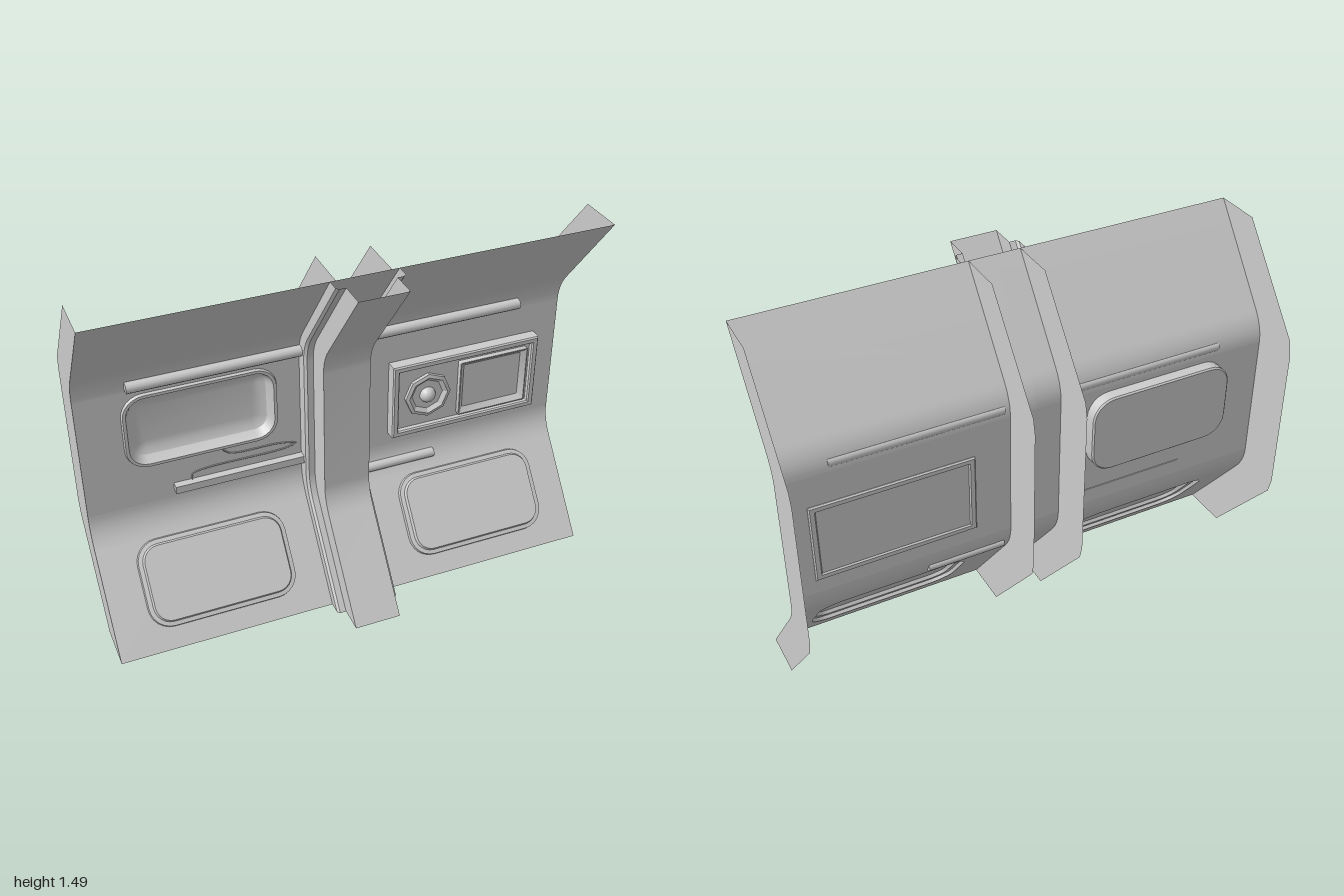
import * as THREE from 'three';
import { toCreasedNormals } from 'three/addons/utils/BufferGeometryUtils.js';

const material = new THREE.MeshStandardMaterial({ color: 0xcccccc, side: THREE.DoubleSide });
const H = 1.485, Z_MID = -0.15, Z_END = 0.175, SLOPE = Math.atan(0.783);
const BEND = 0.355, FLAT = 0.48;   // heights where the lower bend starts and ends

function add(parent, name, geometry, x = 0, y = 0, z = 0) {
  const mesh = new THREE.Mesh(geometry, material);
  mesh.name = name;
  mesh.position.set(x, y, z);
  parent.add(mesh);
  return mesh;
}

// Grid of quads from rows of points; closed wraps each row and caps the last one
function loft(rows, closed) {
  const n = rows[0].length, index = [];
  for (let i = 0; i < rows.length - 1; i++)
    for (let j = 0; j < (closed ? n : n - 1); j++) {
      const k = (j + 1) % n, a = i * n + j, b = i * n + k, c = a + n, d = b + n;
      index.push(a, b, d, a, d, c);
    }
  if (closed) {
    const s = (rows.length - 1) * n;
    for (let j = 1; j < n - 1; j++) index.push(s, s + j, s + j + 1);
  }
  const g = new THREE.BufferGeometry();
  g.setAttribute('position', new THREE.Float32BufferAttribute(rows.flat(2), 3));
  g.setIndex(index);
  return toCreasedNormals(g, 0.5);
}

// Section of [x, forward offset] carried along a path of (z, y)
const sweep = (section, path) =>
  loft(path.map(p => section.map(([x, dz]) => [x, p.y, p.x + dz])), false);

function rounded(w, h, r, n = 6) {
  const pts = [];
  [[1, 1], [-1, 1], [-1, -1], [1, -1]].forEach(([sx, sy], q) => {
    for (let i = 0; i <= n; i++) {
      const a = (q + i / n) * Math.PI / 2;
      pts.push(new THREE.Vector2(sx * (w / 2 - r) + r * Math.cos(a), sy * (h / 2 - r) + r * Math.sin(a)));
    }
  });
  return pts;
}

// Pressed pan: rounded rectangles stepping through [inset, height] levels
const pan = (w, h, r, levels) => loft(levels.map(([inset, z]) =>
  rounded(w - 2 * inset, h - 2 * inset, Math.max(r - inset, 0.004)).map(p => [p.x, p.y, z])), true);

// Flat sheet with rounded holes [cx, cy, w, h, r]
function sheet(x0, x1, y0, y1, holes) {
  const s = new THREE.Shape([[x0, y0], [x1, y0], [x1, y1], [x0, y1]].map(p => new THREE.Vector2(...p)));
  for (const [cx, cy, w, h, r] of holes)
    s.holes.push(new THREE.Path(rounded(w, h, r).map(p => p.add(new THREE.Vector2(cx, cy)))));
  return new THREE.ShapeGeometry(s);
}

export function createModel() {
  const model = new THREE.Group();

  // Side profile as (z, y): sloped foot, bend, upright, bend, sloped head
  const zBend = Z_END - BEND * Math.tan(SLOPE);
  const bend = new THREE.QuadraticBezierCurve(new THREE.Vector2(zBend, BEND),
    new THREE.Vector2(Z_MID, 0.415), new THREE.Vector2(Z_MID, FLAT)).getPoints(8);
  const flip = pts => pts.map(p => new THREE.Vector2(p.x, H - p.y)).reverse();
  const lowerHalf = [new THREE.Vector2(Z_END, 0), ...bend];
  const profile = [...lowerHalf, ...flip(lowerHalf)];

  // Backward-reaching flange outline
  const backHalf = [[-0.015, 0], [-0.326, 0.38], [-0.34, 0.44]].map(p => new THREE.Vector2(...p));
  const flange = new THREE.ShapeGeometry(new THREE.Shape(
    [...profile, ...[...backHalf, ...flip(backHalf)].reverse()])).rotateY(-Math.PI / 2);

  const slopeLength = BEND / Math.cos(SLOPE);
  const upper = [-0.525, 0.82, 0.61, 0.33, 0.09];

  for (const side of [-1, 1]) {
    const group = new THREE.Group();
    group.name = side > 0 ? 'leftWall' : 'rightWall';
    model.add(group);
    const [x0, x1] = side > 0 ? [0, 1] : [-1, 0];
    const strip = [[x0, 0], [x1, 0]];

    // Wall skin, meeting its twin behind the pillar
    add(group, 'lowerBend', sweep(strip, bend));
    add(group, 'upperWall', sweep(strip, flip(lowerHalf)));
    add(group, 'middleWall', sheet(x0, x1, FLAT, H - FLAT, side < 0 ? [upper] : []), 0, 0, Z_MID);
    for (const x of [0.105, 1]) add(group, 'flange', flange, side * x);

    // Sloped foot with its raised hatch
    const foot = new THREE.Group();
    foot.name = 'lowerSlope';
    foot.position.z = Z_END;
    foot.rotation.x = -SLOPE;
    group.add(foot);
    const hatch = [side > 0 ? 0.566 : -0.55, 0.261, 0.61, 0.35, 0.09];
    const [cx, cy, w, h, r] = hatch;
    add(foot, 'lowerWall', sheet(x0, x1, 0, slopeLength, [hatch]));
    add(foot, 'lowerHatch', pan(w, h, r, [[0, 0], [0.003, 0.014], [0.02, 0.016], [0.026, 0.03]]), cx, cy, 0);

    // Round handrail, half sunk in the wall
    const rail = new THREE.CylinderGeometry(0.022, 0.022, 0.68, 12).rotateZ(Math.PI / 2);
    add(group, 'handrail', rail, side * 0.465, 1.035, -0.131);
  }

  // Upper window: lipped recess in front, shallow tray behind
  const [ux, uy, uw, uh, ur] = upper;
  add(model, 'windowRecess', pan(uw, uh, ur, [[0, 0], [0.004, 0.012], [0.016, 0.012], [0.024, -0.005],
    [0.036, -0.025], [0.06, -0.038], [0.09, -0.042]]), ux, uy, Z_MID);
  add(model, 'windowBack', pan(uw, uh, ur, [[0, 0], [0, -0.044], [0.006, -0.05]]), ux, uy, Z_MID);

  // Shelf rail, short rail and loose cable
  add(model, 'shelfRail', new THREE.BoxGeometry(0.53, 0.032, 0.036), -0.39, 0.53, -0.136);
  add(model, 'shortRail', new THREE.CylinderGeometry(0.02, 0.02, 0.32, 12).rotateZ(Math.PI / 2), 0.29, 0.403, -0.126);
  const cable = new THREE.CatmullRomCurve3([[-0.45, 0.65], [-0.42, 0.627], [-0.22, 0.618], [-0.15, 0.602],
    [-0.2, 0.588], [-0.53, 0.583], [-0.58, 0.57], [-0.58, 0.54]].map(([x, y]) => new THREE.Vector3(x, y, -0.1465)));
  add(model, 'cable', new THREE.TubeGeometry(cable, 50, 0.003, 6));

  // Control panel: frame, back plate, screen and octagonal dial
  const panel = new THREE.Group();
  panel.name = 'controlPanel';
  panel.position.set(0.574, 0.708, -0.152);
  model.add(panel);
  const rect = (w, h) => [[-w, -h], [w, -h], [w, h], [-w, h]].map(([x, y]) => new THREE.Vector2(x / 2, y / 2));
  const frame = new THREE.Shape(rect(0.636, 0.326));
  frame.holes.push(new THREE.Path(rect(0.602, 0.292)));
  add(panel, 'panelFrame', new THREE.ExtrudeGeometry(frame,
    { depth: 0.048, bevelThickness: 0.006, bevelSize: 0.005, bevelSegments: 1 }));
  add(panel, 'panelPlate', new THREE.BoxGeometry(0.61, 0.3, 0.03), 0, 0, 0.015);
  add(panel, 'screen', pan(0.305, 0.25, 0.004,
    [[0, 0], [0, 0.022], [0.004, 0.022], [0.024, 0.003]]), 0.125, -0.002, 0.03);
  const dial = [[0.1, 0], [0.1, 0.014], [0.085, 0.018], [0.068, 0.004], [0, 0.004]].map(p => new THREE.Vector2(...p));
  add(panel, 'dial', toCreasedNormals(new THREE.LatheGeometry(dial, 8).rotateX(Math.PI / 2), 0.3), -0.164, 0, 0.03);
  add(panel, 'dialKnob', new THREE.SphereGeometry(0.034, 16, 12), -0.164, 0, 0.034);

  // Stepped pillar covering the joint between the walls
  const half = [[0.13, 0], [0.13, 0.05], [0.12, 0.06], [0.095, 0.06], [0.095, 0.165]];
  const section = [...half.map(([x, z]) => [-x, z]), ...half.reverse()];
  add(model, 'centrePillar', sweep(section, profile), 0.004);

  return model;
}
